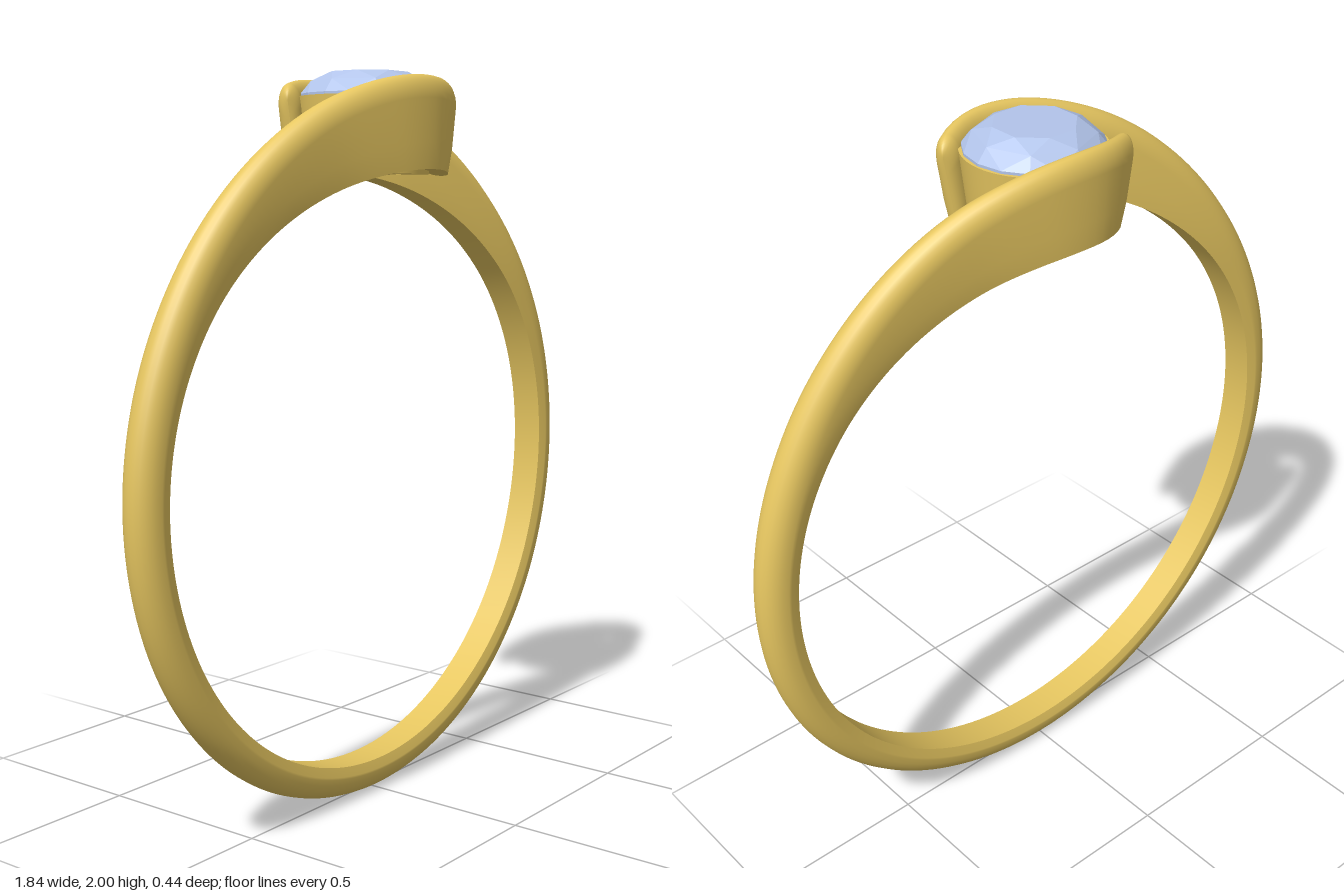
import * as THREE from 'three';
import { ConvexGeometry } from 'three/addons/geometries/ConvexGeometry.js';

const INNER_R = 0.825, CENTRE_Y = 0.917;
const rad = THREE.MathUtils.degToRad;

// Band sideways offset (z) and half width, by angle from the top in degrees
const angles = [-11, -7, -3.5, 0, 5, 10, 20, 35, 50, 65, 80, 110, 180];
const offsetAndWidth = [
  0.118, 0.032, 0.16, 0.032, 0.182, 0.031, 0.189, 0.031, 0.182, 0.033, 0.162, 0.036,
  0.112, 0.042, 0.058, 0.047, 0.023, 0.051, 0.006, 0.053, 0, 0.053, 0, 0.053, 0, 0.053,
];
const sampler = new THREE.CubicInterpolant(angles, offsetAndWidth, 2, new Float32Array(2));

// The two arms are half-turn copies of each other
function bandAt(a) {
  const [z, w] = sampler.evaluate(a > 180 ? 360 - a : a);
  return { z: a > 180 ? -z : z, w };
}

function centreAt(a) {
  return new THREE.Vector3(-INNER_R * Math.sin(rad(a)), CENTRE_Y + INNER_R * Math.cos(rad(a)), bandAt(a).z);
}

// D-shaped section: flat inside, rounded outside, taller toward the top
function bandSection(a, s) {
  const w = bandAt(a).w * s;
  const t = 0.092 + 0.153 * Math.pow((1 + Math.cos(rad(a))) / 2, 7) - 0.035 * (1 - s);
  const cap = 0.06;
  const pts = [[-0.85 * w, 0], [0.85 * w, 0], [0.85 * w, 0], [w, 0.28 * t]];
  for (let k = 0; k <= 12; k++) {
    const q = (k / 12) * Math.PI;
    pts.push([w * Math.cos(q), t - cap + cap * Math.sin(q)]);
  }
  pts.push([-w, 0.28 * t], [-0.85 * w, 0]);
  return pts;
}

function bandGeometry() {
  // Stations: rounded tip, long sweep, rounded tip
  const start = -11, tip = 2.2, stations = [];
  for (let k = 0; k < 8; k++) {
    const q = (k / 8) * Math.PI / 2;
    stations.push([start + tip * (1 - Math.cos(q)), Math.sin(q)]);
  }
  const tail = stations.map(([a, s]) => [360 - a, s]).reverse();
  const from = start + tip, span = 360 - 2 * from;
  for (let i = 0; i <= 220; i++) stations.push([from + (span * i) / 220, 1]);
  stations.push(...tail);

  const pos = [], index = [];
  let n = 0;
  stations.forEach(([a, s], i) => {
    const c = centreAt(a);
    const lo = Math.max(a - 0.3, start), hi = Math.min(a + 0.3, 360 - start);
    const along = centreAt(hi).sub(centreAt(lo)).normalize();
    const out = new THREE.Vector3(-Math.sin(rad(a)), Math.cos(rad(a)), 0);
    const across = along.clone().cross(out).normalize();
    const section = bandSection(a, s);
    n = section.length;
    for (const [p, r] of section) {
      const v = c.clone().addScaledVector(across, p).addScaledVector(out, r);
      pos.push(v.x, v.y, v.z);
    }
    if (i === 0) return;
    for (let j = 0; j < n - 1; j++) {
      if (j === 1) continue; // sharp inner edge
      const p = (i - 1) * n + j, q = i * n + j;
      index.push(p, q, p + 1, q, q + 1, p + 1);
    }
  });
  const g = new THREE.BufferGeometry();
  g.setAttribute('position', new THREE.Float32BufferAttribute(pos, 3));
  g.setIndex(index);
  g.computeVertexNormals();
  return g;
}

// Tapered cup with an open hole; each straight wall is its own lathe for sharp edges
function settingGroup(material) {
  const group = new THREE.Group();
  group.name = 'setting';
  const profile = [[0.09, 1.73], [0.165, 1.73], [0.189, 1.935], [0.176, 1.935], [0.09, 1.83], [0.09, 1.73]];
  const names = ['settingBase', 'settingWall', 'settingRim', 'settingSeat', 'settingHole'];
  names.forEach((name, i) => {
    const pts = [profile[i], profile[i + 1]].map(([r, y]) => new THREE.Vector2(r, y));
    const mesh = new THREE.Mesh(new THREE.LatheGeometry(pts, 64), material);
    mesh.name = name;
    group.add(mesh);
  });
  return group;
}

// Round brilliant cut: table, star ring, girdle, pavilion point
function stoneGeometry() {
  const pts = [new THREE.Vector3(0, 1.775, 0)];
  const ring = (count, r, y, shift) => {
    for (let i = 0; i < count; i++) {
      const q = ((i + shift) / count) * Math.PI * 2;
      pts.push(new THREE.Vector3(r * Math.cos(q), y, r * Math.sin(q)));
    }
  };
  ring(8, 0.11, 2.0, 0.5);
  ring(8, 0.155, 1.976, 0);
  ring(16, 0.183, 1.942, 0);
  ring(16, 0.183, 1.93, 0);
  return new ConvexGeometry(pts);
}

export function createModel() {
  const gold = new THREE.MeshStandardMaterial({ color: 0xe6c660, side: THREE.DoubleSide });
  const gem = new THREE.MeshStandardMaterial({ color: 0xb2c4ea, flatShading: true });

  const model = new THREE.Group();
  model.name = 'ring';

  const band = new THREE.Mesh(bandGeometry(), gold);
  band.name = 'band';

  const stone = new THREE.Mesh(stoneGeometry(), gem);
  stone.name = 'stone';

  model.add(band, settingGroup(gold), stone);
  return model;
}
